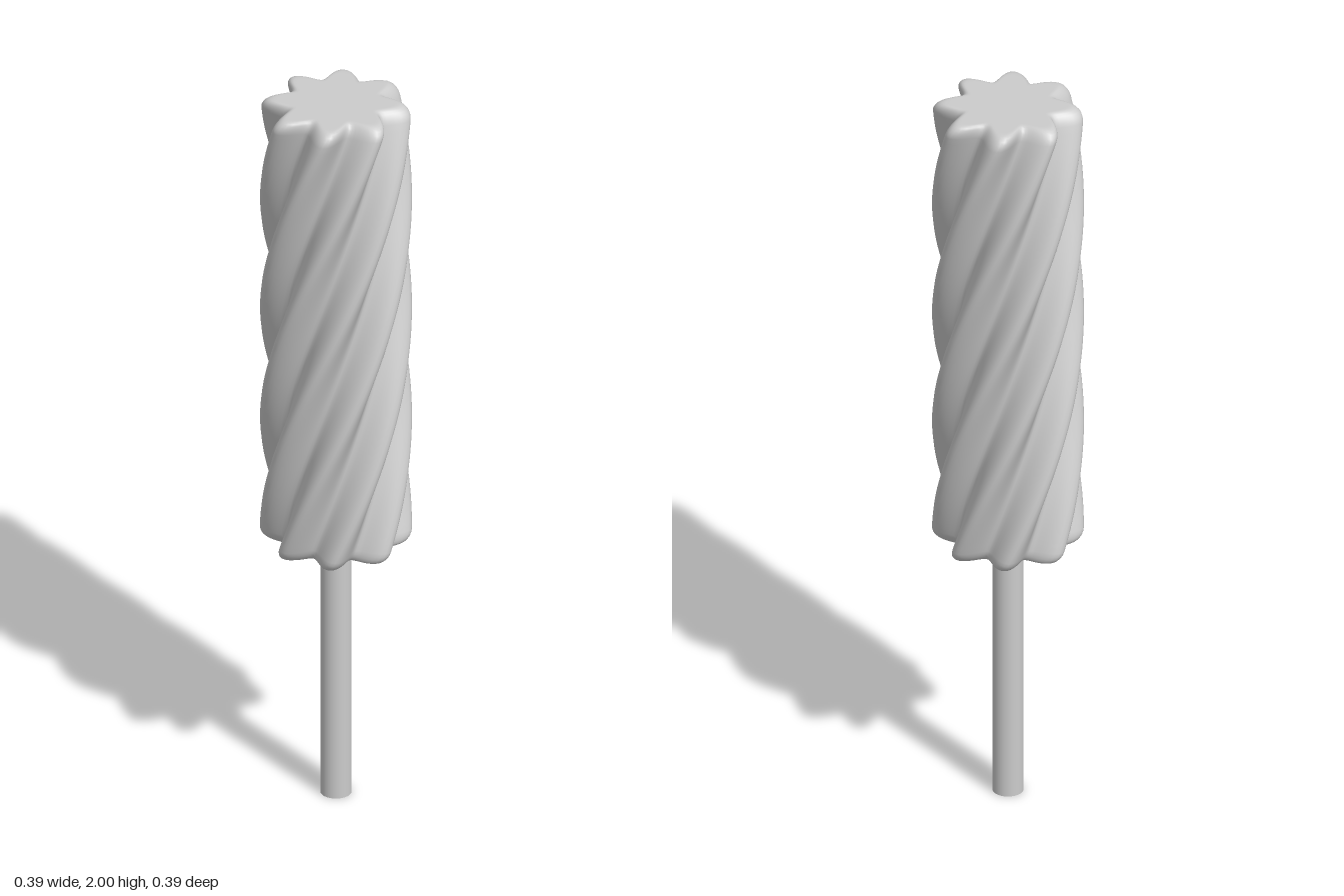
import * as THREE from 'three';
import { mergeVertices } from 'three/addons/utils/BufferGeometryUtils.js';

const BOTTOM = 0.73, TOP = 2, RADIUS = 0.193;
const LOBES = 8, GROOVE = 0.056, BEVEL = 0.035, TWIST = Math.PI;

// Lobed column with rounded ends, twisted half a turn from bottom to top
function twistedBody() {
  const profile = [new THREE.Vector2(0, BOTTOM), new THREE.Vector2(RADIUS - BEVEL - 0.01, BOTTOM)];
  const bevelSteps = 6, wallSteps = 64;
  for (let i = 0; i <= bevelSteps; i++) {
    const a = (i / bevelSteps) * Math.PI / 2;
    profile.push(new THREE.Vector2(RADIUS - BEVEL * (1 - Math.sin(a)), BOTTOM + BEVEL * (1 - Math.cos(a))));
  }
  for (let i = 1; i < wallSteps; i++) {
    profile.push(new THREE.Vector2(RADIUS, THREE.MathUtils.lerp(BOTTOM + BEVEL, TOP - BEVEL, i / wallSteps)));
  }
  for (let i = bevelSteps; i >= 0; i--) {
    const a = (i / bevelSteps) * Math.PI / 2;
    profile.push(new THREE.Vector2(RADIUS - BEVEL * (1 - Math.sin(a)), TOP - BEVEL * (1 - Math.cos(a))));
  }
  profile.push(new THREE.Vector2(RADIUS - BEVEL - 0.01, TOP), new THREE.Vector2(0, TOP));

  // weld the seam so the shading stays smooth all round
  const lathe = new THREE.LatheGeometry(profile, 128);
  lathe.deleteAttribute('uv');
  lathe.deleteAttribute('normal');
  const geometry = mergeVertices(lathe, 1e-5);

  // press the grooves in and twist each level
  const pos = geometry.attributes.position;
  for (let i = 0; i < pos.count; i++) {
    const x = pos.getX(i), y = pos.getY(i), z = pos.getZ(i);
    const r = Math.hypot(x, z), phi = Math.atan2(x, z);
    const depth = GROOVE * (1 - Math.cos(LOBES * phi)) / 2;
    const lobed = r * (1 - depth / RADIUS);
    const turned = phi + TWIST * (y - BOTTOM) / (TOP - BOTTOM);
    pos.setXYZ(i, lobed * Math.sin(turned), y, lobed * Math.cos(turned));
  }
  geometry.computeVertexNormals();
  return geometry;
}

export function createModel() {
  const group = new THREE.Group();
  const material = new THREE.MeshStandardMaterial({ color: 0xcccccc });

  const body = new THREE.Mesh(twistedBody(), material);
  body.name = 'twistedBody';

  // round stick, running a little way into the body
  const height = BOTTOM + 0.05;
  const stick = new THREE.Mesh(new THREE.CylinderGeometry(0.04, 0.04, height, 32), material);
  stick.position.y = height / 2;
  stick.name = 'stick';

  group.add(body, stick);
  return group;
}
